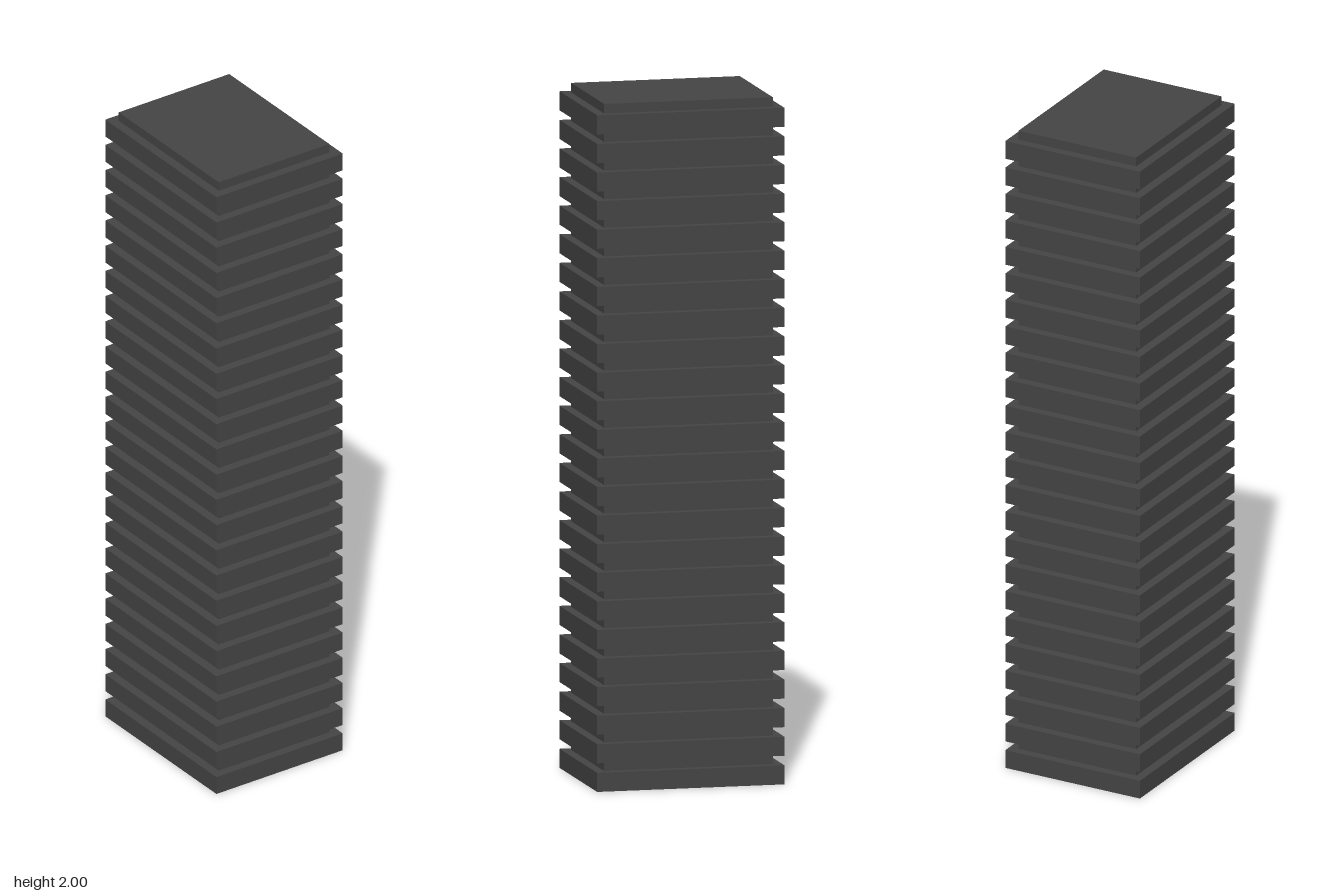
import * as THREE from 'three';

export function createModel() {
  const model = new THREE.Group();
  model.name = 'tower';
  const charcoal = new THREE.MeshStandardMaterial({ color: 0x444444 });
  charcoal.name = 'charcoal';

  const unit = 1 / 36; // ledge overhang and gap height
  const floors = 24;
  const pitch = 3 * unit;

  function block(name, width, depth, bottom, top) {
    const mesh = new THREE.Mesh(new THREE.BoxGeometry(width, top - bottom, depth), charcoal);
    mesh.name = name;
    mesh.position.y = (bottom + top) / 2;
    model.add(mesh);
  }

  // recessed core, rising above the last slab to form the roof
  block('core', 14 * unit, 18 * unit, unit, floors * pitch);

  // projecting floor slabs
  for (let i = 0; i < floors; i++) {
    block(`floorSlab${i + 1}`, 16 * unit, 20 * unit, i * pitch, i * pitch + 2 * unit);
  }
  return model;
}
